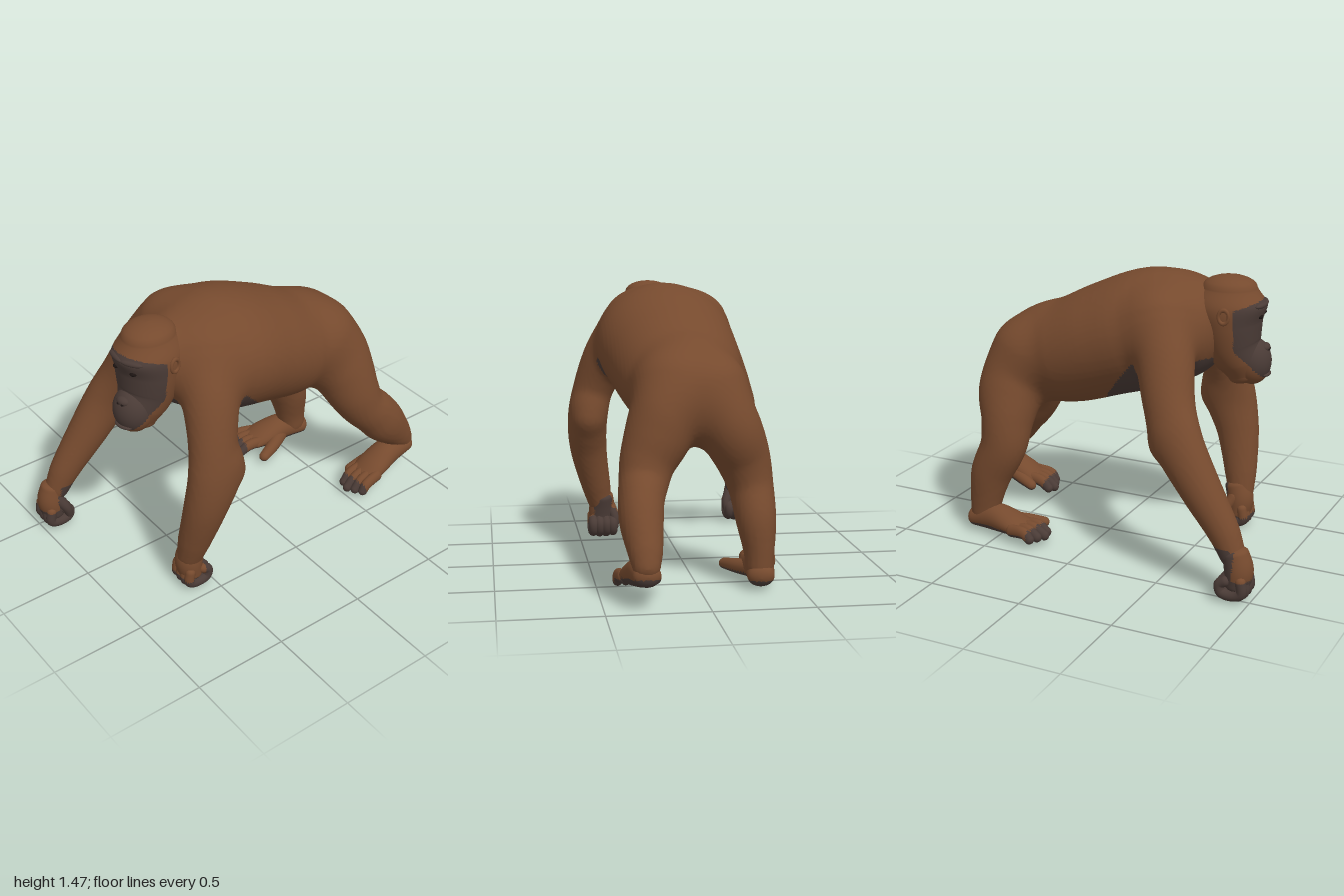
import * as THREE from 'three';

const fur = new THREE.MeshStandardMaterial({ color: 0x764a2e });
fur.name = 'brown fur';
const skin = new THREE.MeshStandardMaterial({ color: 0x4a3b36 });
skin.name = 'dark skin';
const eyeDark = new THREE.MeshStandardMaterial({ color: 0x1c1412 });
eyeDark.name = 'eye dark';

const { clamp, lerp } = THREE.MathUtils;
const vec = (x, y, z) => new THREE.Vector3(x, y, z);

// Elliptical sections along rows of [x, y, z, half width in z, half depth]
function sections(rows, steps) {
  const path = new THREE.CatmullRomCurve3(rows.map(r => vec(r[0], r[1], r[2])));
  const size = new THREE.CatmullRomCurve3(rows.map(r => vec(r[3], r[4], 0)), false, 'catmullrom');
  const n = (rows.length - 1) * steps;
  return Array.from({ length: n + 1 }, (_, i) => {
    const c = path.getPoint(i / n), t = path.getTangent(i / n), r = size.getPoint(i / n);
    const u = vec(0, 0, 1).addScaledVector(t, -t.z).normalize();
    return { c, t, u, v: t.clone().cross(u), ru: r.x, rv: r.y };
  });
}

// Tube through the sections with rounded ends
function loft(rows, { segs = 32, steps = 8, cap = 0.5 } = {}) {
  const rings = sections(rows, steps), n = rings.length - 1, capRings = 6;
  const pos = [], index = [];
  for (let i = -capRings; i <= n + capRings; i++) {
    const s = rings[clamp(i, 0, n)], over = (i - clamp(i, 0, n)) / capRings * Math.PI / 2;
    const shrink = Math.max(Math.cos(over), 0.002);
    const c = s.c.clone().addScaledVector(s.t, Math.sin(over) * cap * Math.min(s.ru, s.rv));
    for (let j = 0; j < segs; j++) {
      const a = j / segs * Math.PI * 2;
      const p = c.clone().addScaledVector(s.u, Math.cos(a) * s.ru * shrink)
        .addScaledVector(s.v, Math.sin(a) * s.rv * shrink);
      pos.push(p.x, p.y, p.z);
    }
  }
  for (let i = 0; i < n + capRings * 2; i++) {
    for (let j = 0; j < segs; j++) {
      const k = (j + 1) % segs, a = i * segs, b = a + segs;
      index.push(a + j, a + k, b + j, a + k, b + k, b + j);
    }
  }
  return indexed(pos, index);
}

function indexed(pos, index) {
  const g = new THREE.BufferGeometry();
  g.setAttribute('position', new THREE.Float32BufferAttribute(pos, 3));
  g.setIndex(index);
  g.computeVertexNormals();
  return g;
}

// Distance to a tube through the sections, negative inside
function distanceTo(rows) {
  const s = sections(rows, 7), box = new THREE.Box3(), q = vec(0, 0, 0), axis = vec(0, 0, 0);
  for (const a of s) box.expandByPoint(a.c);
  box.expandByScalar(Math.max(...s.map(a => Math.max(a.ru, a.rv))) + 0.12);
  return p => {
    let best = 1;
    if (!box.containsPoint(p)) return best;
    for (let i = 0; i < s.length - 1; i++) {
      const a = s[i], b = s[i + 1];
      axis.subVectors(b.c, a.c);
      q.subVectors(p, a.c);
      const h = clamp(q.dot(axis) / axis.lengthSq(), 0, 1);
      q.addScaledVector(axis, -h);
      const ru = lerp(a.ru, b.ru, h), rv = lerp(a.rv, b.rv, h), rt = Math.min(ru, rv);
      const x = q.dot(a.u) / ru, y = q.dot(a.v) / rv, z = q.dot(a.t) / rt;
      const k = Math.sqrt(x * x + y * y + z * z);
      const slope = Math.sqrt((x / ru) ** 2 + (y / rv) ** 2 + (z / rt) ** 2) || 1;
      best = Math.min(best, k < 1e-6 ? -rt : k * (k - 1) / slope);
    }
    return best;
  };
}

// Minimum that fillets the joint over a width k
function blend(a, b, k) {
  const h = Math.max(k - Math.abs(a - b), 0);
  return Math.min(a, b) - h * h / (4 * k);
}

// One smooth skin where the distance is zero: a vertex per crossed cell, a quad per crossed edge
function skinOver(distance, low, high, step) {
  const dim = low.map((l, a) => Math.ceil((high[a] - l) / step) + 1);
  const stride = [1, dim[0], dim[0] * dim[1]];
  const value = new Float32Array(stride[2] * dim[2]), vertex = new Int32Array(value.length).fill(-1);
  const each = (size, visit) => {
    for (let k = 0; k < size[2]; k++) for (let j = 0; j < size[1]; j++) for (let i = 0; i < size[0]; i++) {
      visit([i, j, k], i + j * stride[1] + k * stride[2]);
    }
  };
  const p = vec(0, 0, 0), pos = [], index = [];
  each(dim, (ijk, at) => {
    value[at] = distance(p.set(...ijk.map((c, a) => low[a] + c * step)));
  });
  const cells = dim.map(d => d - 1);
  each(cells, (ijk, at) => {
    const corner = [0, 1, 2, 3, 4, 5, 6, 7].map(c =>
      value[at + (c & 1) + (c >> 1 & 1) * stride[1] + (c >> 2) * stride[2]]);
    const sum = [0, 0, 0];
    let count = 0;
    for (let c = 0; c < 8; c++) for (let a = 0; a < 3; a++) {
      const d = c | 1 << a;
      if (d === c || corner[c] < 0 === corner[d] < 0) continue;
      const t = corner[c] / (corner[c] - corner[d]);
      for (let b = 0; b < 3; b++) sum[b] += b === a ? t : c >> b & 1;
      count++;
    }
    if (!count) return;
    vertex[at] = pos.length / 3;
    pos.push(...sum.map((v, a) => low[a] + (ijk[a] + v / count) * step));
  });
  each(cells, (ijk, at) => {
    for (let a = 0; a < 3; a++) {
      const inside = value[at] < 0, b = stride[(a + 1) % 3], c = stride[(a + 2) % 3];
      if (inside === value[at + stride[a]] < 0) continue;
      const [e, f, g, h] = [at, at - b, at - b - c, at - c].map(n => vertex[n]);
      index.push(...(inside ? [e, f, g, e, g, h] : [e, g, f, e, h, g]));
    }
  });
  return indexed(pos, index);
}

const ellipsoid = (x, y, z, rx, ry, rz) =>
  new THREE.SphereGeometry(1, 40, 30).scale(rx, ry, rz).translate(x, y, z);

function part(parent, name, geometry, material = fur) {
  const m = new THREE.Mesh(geometry, material);
  m.name = name;
  parent.add(m);
  return m;
}

// Part with fur, and bare skin wherever the rule holds for a face centre and normal
function twoTone(parent, name, g, isSkin) {
  const idx = g.index.array, lists = [[], []], centre = vec(0, 0, 0), normal = vec(0, 0, 0), w = vec(0, 0, 0);
  for (let i = 0; i < idx.length; i += 3) {
    const f = [idx[i], idx[i + 1], idx[i + 2]];
    centre.set(0, 0, 0);
    normal.set(0, 0, 0);
    for (const k of f) {
      centre.addScaledVector(w.fromBufferAttribute(g.attributes.position, k), 1 / 3);
      normal.addScaledVector(w.fromBufferAttribute(g.attributes.normal, k), 1 / 3);
    }
    lists[isSkin(centre, normal) ? 1 : 0].push(...f);
  }
  g.setIndex(lists[0].concat(lists[1]));
  g.clearGroups();
  g.addGroup(0, lists[0].length, 0);
  g.addGroup(lists[0].length, lists[1].length, 1);
  part(parent, name, g, [fur, skin]);
}

function group(parent, name, position, rotation) {
  const g = new THREE.Group();
  g.name = name;
  g.position.set(...position);
  g.rotation.set(...rotation);
  parent.add(g);
  return g;
}

// Knuckle-walking hand; inner is the z direction towards the body
function hand(parent, name, x, z, inner, isSkin) {
  const h = group(parent, name, [x, 0, z], [0, 0, 0]);
  twoTone(h, 'palm', loft([[0.01, 0.25, 0, 0.063, 0.067], [-0.01, 0.17, 0, 0.074, 0.072],
    [-0.005, 0.09, 0, 0.07, 0.062]]), isSkin);
  for (let k = 0; k < 4; k++) {
    const fz = -0.056 + k * 0.037, r = 0.027, drop = k % 3 ? 0 : 0.008;
    twoTone(h, 'curledFinger', loft([[-0.04, 0.13, fz, r, r], [-0.045, 0.06 + drop, fz, r, r],
      [0.005, 0.04 + drop, fz, r, r], [0.06, 0.06, fz, r, r], [0.068, 0.1, fz, r, r],
      [0.04, 0.12, fz, r, r]], { segs: 14, steps: 5, cap: 1 }), isSkin);
  }
  twoTone(h, 'thumb', loft([[0.01, 0.19, inner * 0.045, 0.032, 0.032], [0.045, 0.13, inner * 0.07, 0.026, 0.026],
    [0.06, 0.08, inner * 0.065, 0.022, 0.022]], { segs: 14, steps: 5, cap: 1 }), isSkin);
}

// Foot pointing to -x from the heel, with a splayed big toe on the inner side
function foot(parent, name, position, yaw, pitch, inner, splay) {
  const f = group(parent, name, position, [0, yaw, pitch]);
  const sole = (p, n) => n.y < -0.4 || p.x < -0.385;
  twoTone(f, 'footBody', loft([[0.01, 0.055, 0, 0.068, 0.055], [-0.11, 0.075, 0, 0.076, 0.075],
    [-0.23, 0.065, 0, 0.09, 0.06], [-0.31, 0.052, 0, 0.084, 0.04]], { cap: 0.8 }), sole);
  for (let k = 0; k < 4; k++) {
    const z = inner * (0.05 - k * 0.04), end = -0.43 + Math.abs(k - 1) * 0.018;
    twoTone(f, 'toe', loft([[-0.27, 0.055, z, 0.028, 0.035], [-0.36, 0.06, z * 1.1, 0.027, 0.033],
      [end, 0.034, z * 1.1, 0.024, 0.027]], { segs: 16, steps: 6, cap: 1 }), sole);
  }
  twoTone(f, 'bigToe', loft([[-0.13, 0.055, inner * 0.03, 0.045, 0.045],
    [-0.23, 0.045, inner * (0.03 + splay * 0.6), 0.037, 0.037],
    [-0.32, 0.034, inner * (0.03 + splay), 0.029, 0.028]], { segs: 18, steps: 6, cap: 1 }), sole);
}

function buildHead(parent) {
  const head = group(parent, 'head', [-0.6, 1.2, 0.095], [0, 0.2, 0]);
  // Bare face from the brow to the lips, leaving a furry crown, cheeks and chin
  const face = p => p.x < -0.07 && p.y < 0.11 - 0.3 * p.x && p.y > -0.07 + 1.07 * (p.x + 0.06);
  twoTone(head, 'skull', loft([
    [-0.02, 0.215, 0, 0.125, 0.14], [-0.02, 0.13, 0, 0.168, 0.192], [-0.03, 0.03, 0, 0.168, 0.162],
    [-0.05, -0.08, 0, 0.15, 0.14], [-0.09, -0.17, 0, 0.12, 0.12], [-0.11, -0.235, 0, 0.085, 0.085],
  ], { segs: 80, steps: 14 }), face);
  twoTone(head, 'muzzle', ellipsoid(-0.145, -0.16, 0, 0.098, 0.122, 0.104), p => p.y > -0.235 && face(p));
  part(head, 'lowerLip', ellipsoid(-0.212, -0.222, 0, 0.03, 0.014, 0.055), skin);
  part(head, 'nose', ellipsoid(-0.208, -0.085, 0, 0.026, 0.024, 0.038), skin);
  for (const s of [1, -1]) {
    const brow = part(head, 'brow', ellipsoid(0, 0, 0, 0.018, 0.015, 0.058), skin);
    brow.position.set(-0.19, 0.142, s * 0.052);
    brow.rotation.y = s * 0.32;
    part(head, 'eye', ellipsoid(-0.184, 0.085, s * 0.056, 0.018, 0.012, 0.018), eyeDark);
    part(head, 'nostril', ellipsoid(-0.229, -0.092, s * 0.014, 0.007, 0.006, 0.007), eyeDark);
    const rim = part(head, 'earRim', new THREE.TorusGeometry(0.03, 0.01, 10, 24));
    rim.scale.set(0.85, 1.15, 1);
    rim.position.set(-0.02, 0.1, s * 0.17);
  }
}

export function createModel() {
  const ape = new THREE.Group();
  ape.name = 'ape';

  const torso = distanceTo([
    [-0.34, 1.185, 0.07, 0.27, 0.27], [-0.22, 1.165, 0.065, 0.36, 0.31], [0, 1.09, 0.045, 0.35, 0.3],
    [0.2, 1.01, 0.03, 0.318, 0.283], [0.33, 0.98, 0.025, 0.28, 0.27], [0.42, 0.955, 0.022, 0.25, 0.242]]);
  const neck = distanceTo([
    [-0.56, 1.27, 0.095, 0.14, 0.16], [-0.45, 1.225, 0.085, 0.19, 0.21], [-0.32, 1.19, 0.06, 0.25, 0.26]]);
  const leftArm = distanceTo([
    [-0.36, 1.24, 0.19, 0.185, 0.185], [-0.43, 1.09, 0.33, 0.14, 0.148], [-0.483, 0.9, 0.42, 0.112, 0.127],
    [-0.497, 0.73, 0.455, 0.11, 0.145], [-0.55, 0.55, 0.45, 0.103, 0.118],
    [-0.593, 0.32, 0.405, 0.082, 0.088], [-0.607, 0.21, 0.38, 0.066, 0.07]]);
  const rightArm = distanceTo([
    [-0.34, 1.24, -0.12, 0.185, 0.185], [-0.42, 1.09, -0.24, 0.142, 0.15], [-0.49, 0.9, -0.34, 0.122, 0.13],
    [-0.56, 0.75, -0.4, 0.11, 0.13], [-0.7, 0.54, -0.435, 0.1, 0.105],
    [-0.84, 0.34, -0.457, 0.078, 0.08], [-0.89, 0.24, -0.466, 0.065, 0.065]]);
  const leftLeg = distanceTo([
    [0.45, 0.99, 0.12, 0.18, 0.185], [0.505, 0.88, 0.155, 0.175, 0.195], [0.545, 0.78, 0.195, 0.165, 0.172],
    [0.58, 0.66, 0.25, 0.138, 0.145], [0.625, 0.57, 0.275, 0.123, 0.128], [0.7, 0.49, 0.297, 0.112, 0.126],
    [0.77, 0.405, 0.305, 0.106, 0.122], [0.88, 0.28, 0.3, 0.083, 0.086], [0.925, 0.22, 0.3, 0.066, 0.064]]);
  const rightLeg = distanceTo([
    [0.44, 0.97, -0.09, 0.18, 0.2], [0.49, 0.86, -0.13, 0.17, 0.19], [0.505, 0.77, -0.18, 0.156, 0.175],
    [0.495, 0.65, -0.235, 0.137, 0.14], [0.5, 0.51, -0.275, 0.114, 0.126], [0.57, 0.35, -0.29, 0.1, 0.113],
    [0.6, 0.2, -0.3, 0.077, 0.09], [0.61, 0.12, -0.3, 0.07, 0.08]]);
  const leftElbow = distanceTo([[-0.43, 0.78, 0.455, 0.06, 0.06], [-0.405, 0.725, 0.46, 0.055, 0.055]]);
  const rightElbow = distanceTo([[-0.52, 0.78, -0.395, 0.06, 0.06], [-0.49, 0.715, -0.4, 0.055, 0.055]]);

  // Trunk and limbs flow into one skin, bare on the chest and the right wrist
  const limbs = [leftArm, rightArm, leftLeg, rightLeg, leftElbow, rightElbow];
  const body = p => limbs.reduce((d, limb) => blend(d, limb(p), 0.07), blend(torso(p), neck(p), 0.07));
  const bare = p => p.x < 0.02 && p.y < Math.min(1.07, 1 - 1.1 * (p.x + 0.2)) && torso(p) < 0.03
    || p.z < -0.3 && p.y < 0.28 && p.x > -0.9 && p.x < -0.6;
  twoTone(ape, 'trunkAndLimbs', skinOver(body, [-1.06, 0, -0.62], [1.06, 1.56, 0.64], 0.016), bare);

  buildHead(ape);
  hand(ape, 'leftHand', -0.6, 0.37, -1, p => p.y < 0.085 || p.x > 0.045);
  hand(ape, 'rightHand', -0.92, -0.475, 1, p => p.y < 0.13 || p.x > 0);
  foot(ape, 'leftFoot', [0.945, 0.125, 0.3], 0.06, 0.25, -1, 0.07);
  foot(ape, 'rightFoot', [0.65, 0.03, -0.3], -0.12, 0, 1, 0.13);
  return ape;
}
